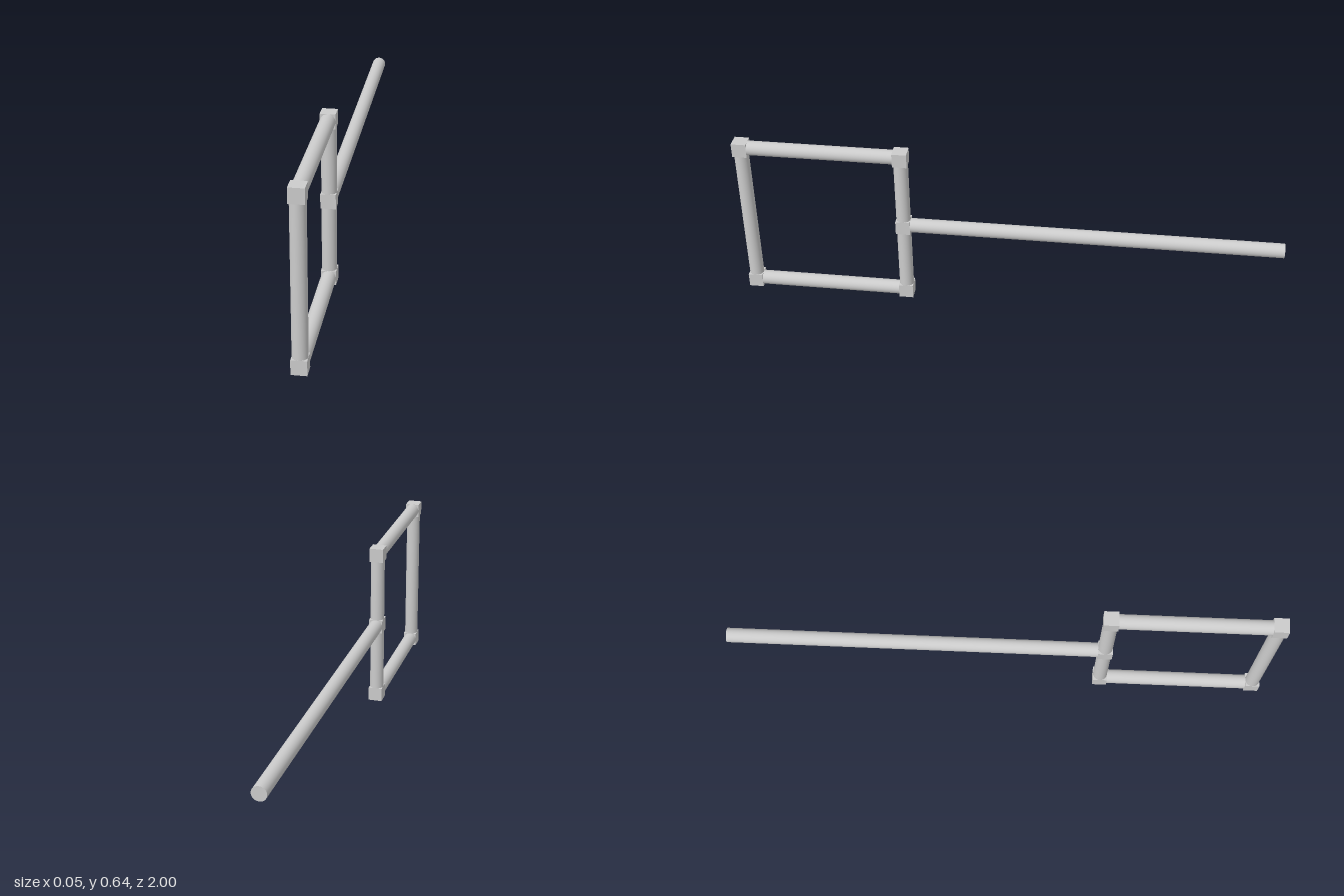
import * as THREE from 'three';

const S = 0.0532;            // joint cube edge = rod diameter
const H = 0.638;             // outer side of the square frame
const LOW = S / 2, HIGH = H - S / 2, MID = H / 2;
const FRONT = 1 - S / 2, BACK = 1 - H + S / 2;

export function createModel() {
  const group = new THREE.Group();
  const material = new THREE.MeshStandardMaterial({ color: 0xcccccc });

  function add(name, geometry, y, z) {
    const mesh = new THREE.Mesh(geometry, material);
    mesh.name = name;
    mesh.position.set(0, y, z);
    group.add(mesh);
    return mesh;
  }

  // Round rod between two (y, z) points, either upright or along z
  function rod(name, y0, z0, y1, z1) {
    const length = Math.hypot(y1 - y0, z1 - z0);
    const geometry = new THREE.CylinderGeometry(S / 2, S / 2, length, 48);
    const mesh = add(name, geometry, (y0 + y1) / 2, (z0 + z1) / 2);
    if (z0 !== z1) mesh.rotation.x = -Math.PI / 2;
  }

  // Cube joints at the corners and where the handle meets the frame
  const joints = [
    ['frontLowerJoint', LOW, FRONT], ['frontUpperJoint', HIGH, FRONT],
    ['backLowerJoint', LOW, BACK], ['backUpperJoint', HIGH, BACK],
    ['handleJoint', MID, BACK],
  ];
  for (const [name, y, z] of joints) add(name, new THREE.BoxGeometry(S, S, S), y, z);

  // Rods run from cube face to cube face
  const h = S / 2;
  rod('frontPost', LOW + h, FRONT, HIGH - h, FRONT);
  rod('backLowerPost', LOW + h, BACK, MID - h, BACK);
  rod('backUpperPost', MID + h, BACK, HIGH - h, BACK);
  rod('lowerRail', LOW, BACK + h, LOW, FRONT - h);
  rod('upperRail', HIGH, BACK + h, HIGH, FRONT - h);
  rod('handle', MID, -1, MID, BACK - h);

  return group;
}
